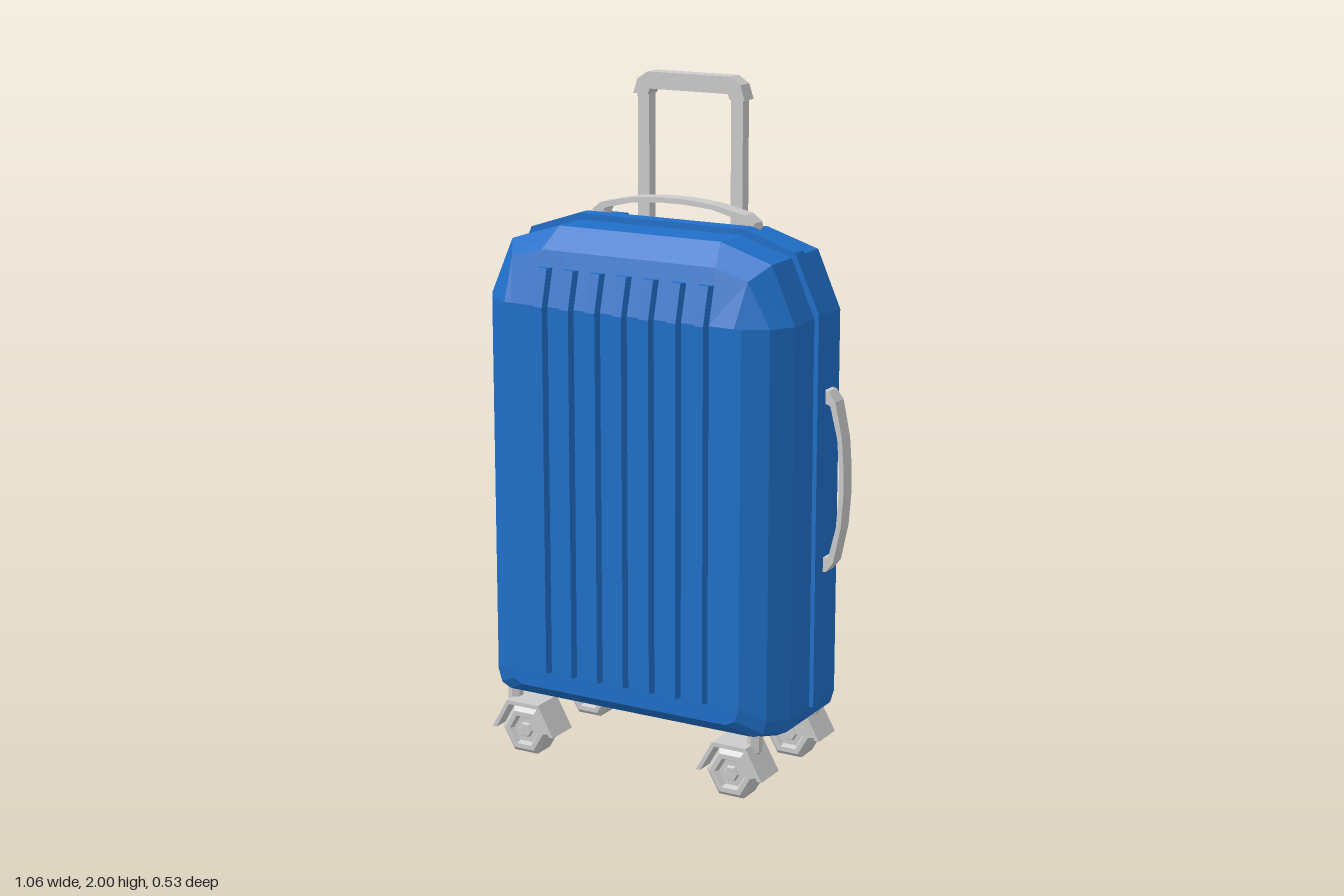
import * as THREE from 'three';

const blue = new THREE.MeshStandardMaterial({ color: 0x1f6fc8, flatShading: true });
const grey = new THREE.MeshStandardMaterial({ color: 0xcccccc, flatShading: true });

function part(parent, name, geometry, material, x = 0, y = 0, z = 0) {
  const mesh = new THREE.Mesh(geometry, material);
  mesh.name = name;
  mesh.position.set(x, y, z);
  parent.add(mesh);
  return mesh;
}

function fromQuads(quads) {
  const pos = [];
  for (const [a, b, c, d] of quads) pos.push(...a, ...b, ...c, ...a, ...c, ...d);
  const g = new THREE.BufferGeometry();
  g.setAttribute('position', new THREE.Float32BufferAttribute(pos, 3));
  g.computeVertexNormals();
  return g;
}

// Quads joining closed rings, with capped ends; skip() leaves openings
function loft(rings, skip = () => false) {
  const quads = [];
  const n = rings[0].length;
  for (let i = 0; i < rings.length - 1; i++) {
    for (let j = 0; j < n; j++) {
      const k = (j + 1) % n;
      if (!skip(i, j)) quads.push([rings[i][j], rings[i][k], rings[i + 1][k], rings[i + 1][j]]);
    }
  }
  const first = rings[0], last = rings[rings.length - 1];
  for (let j = 0; j < n / 2 - 1; j++) {
    const k = n - 1 - j;
    quads.push([last[j], last[j + 1], last[k - 1], last[k]]);
    quads.push([first[k], first[k - 1], first[j + 1], first[j]]);
  }
  return quads;
}

// Right-hand points followed by their mirror image
const mirrored = (pts) => [...pts, ...pts.map(([x, y]) => [-x, y]).reverse()];

// Extrusion of an outline, centred on z = 0
function slab(pts, depth) {
  const shape = new THREE.Shape(pts.map(([x, y]) => new THREE.Vector2(x, y)));
  const g = new THREE.ExtrudeGeometry(shape, { depth, bevelEnabled: false });
  g.translate(0, 0, -depth / 2);
  return g;
}

// A band between an outer and an inner half outline
const arch = (outer, inner, depth) =>
  slab([...mirrored(outer), ...mirrored(inner).reverse()], depth);

function shellGeometry() {
  const slice = (z, hx, y0, sx, sy, tx, ty) => mirrored([
    [hx - 0.042, y0], [hx - 0.012, y0 + 0.015], [hx, y0 + 0.055],
    [hx, 1.37], [sx, sy], [tx, ty], [0.2, ty],
  ]).map(([x, y]) => [x, y, z]);
  const face = [0.382, 0.225, 0.36, 1.37, 0.28, 1.37];
  const edge = [0.45, 0.188, 0.38, 1.495, 0.28, 1.525];
  const full = [0.492, 0.18, 0.42, 1.535, 0.26, 1.585];
  const rings = [
    slice(-0.246, ...face), slice(-0.205, ...edge), slice(-0.14, ...full),
    slice(-0.1, ...full), slice(0.14, ...full), slice(0.205, ...edge), slice(0.246, ...face),
  ];
  const quads = loft(rings, (i, j) => j === 6 && (i === 1 || i === 2));
  // Recess at the top of the back for the pull handle
  const lo = 1.525, hi = 1.585, w = 0.2, zb = -0.205, zf = -0.1;
  const side = (x) => [[x, lo, zb], [x, lo, zf], [x, hi, zf], [x, hi, -0.14]];
  quads.push([[-w, lo, zb], [-w, lo, zf], [w, lo, zf], [w, lo, zb]]);
  quads.push([[w, lo, zf], [-w, lo, zf], [-w, hi, zf], [w, hi, zf]]);
  quads.push(side(w), side(-w).reverse());
  return fromQuads(quads);
}

// Raised rib that bends back over the shoulder of the shell
function ribGeometry() {
  const ring = (y, z) => [
    [-0.027, y, z - 0.01], [-0.015, y, z + 0.018], [0.015, y, z + 0.018], [0.027, y, z - 0.01],
  ];
  return fromQuads(loft([ring(0.28, 0.246), ring(1.37, 0.246), ring(1.478, 0.218)]));
}

function carryHandle(name) {
  const handle = new THREE.Group();
  handle.name = name;
  const outer = [[0.267, -0.012], [0.264, 0.006], [0.235, 0.028], [0.13, 0.05], [0.04, 0.057]];
  const inner = [[0.235, -0.012], [0.222, 0.012], [0.13, 0.035], [0.04, 0.042]];
  part(handle, 'handleGrip', arch(outer, inner, 0.052), grey);
  for (const s of [-1, 1]) {
    part(handle, 'handleFoot', new THREE.BoxGeometry(0.04, 0.03, 0.035), grey, s * 0.245, -0.01, 0);
  }
  return handle;
}

// Caster: hexagonal wheel, three-sided fender and a stem on the outer side
function caster(s) {
  const group = new THREE.Group();
  group.name = 'caster';
  const half = [[0, 0.04], [0.02, 0.04], [0.025, 0.032], [0.042, 0.032], [0.05, 0.046], [0.066, 0.046], [0.08, 0.034]];
  const profile = [...half.map(([r, y]) => [r, -y]), ...half.slice().reverse()]
    .map(([r, y]) => new THREE.Vector2(r, y));
  const wheel = new THREE.LatheGeometry(profile, 6, Math.PI / 2);
  wheel.rotateX(Math.PI / 2);
  part(group, 'wheel', wheel, grey, 0, 0.072, 0);
  const fender = arch([[0.106, 0], [0.054, 0.092]], [[0.092, 0], [0.047, 0.08]], 0.106);
  part(group, 'fender', fender, grey, 0, 0.07, 0);
  const stem = [[0, 0.11], [0.022, 0.14], [0.022, 0.21]].map(([r, y]) => new THREE.Vector2(r, y));
  part(group, 'stem', new THREE.LatheGeometry(stem, 6), grey, s * 0.056, 0, 0);
  return group;
}

export function createModel() {
  const model = new THREE.Group();
  model.name = 'suitcase';
  const body = new THREE.Group();
  body.name = 'suitcaseBody';
  body.position.x = -0.028;
  model.add(body);

  part(body, 'shell', shellGeometry(), blue);

  // Band around the seam
  const band = mirrored([[0.505, 0.235], [0.505, 1.385], [0.43, 1.55], [0.27, 1.603]]);
  part(body, 'seamBand', slab(band, 0.049), blue, 0, 0, -0.0025);

  // Ribs on front and back
  const rib = ribGeometry();
  for (let i = -3; i <= 3; i++) {
    part(body, 'frontRib', rib, blue, i * 0.0865);
    part(body, 'backRib', rib, blue, i * 0.0865).rotation.y = Math.PI;
  }

  // Carry handles on top and on the left side
  const top = carryHandle('topHandle');
  top.position.set(0, 1.6, -0.073);
  const side = carryHandle('sideHandle');
  side.position.set(0.5, 0.888, -0.071);
  side.rotation.z = -Math.PI / 2;
  body.add(top, side);

  // Pull handle
  const pull = new THREE.Group();
  pull.name = 'pullHandle';
  pull.position.z = -0.169;
  for (const s of [-1, 1]) {
    part(pull, 'post', new THREE.BoxGeometry(0.038, 0.44, 0.036), grey, s * 0.153, 1.73, 0);
  }
  const gripOuter = [[0.182, 1.935], [0.168, 1.978], [0.134, 2]];
  const gripInner = [[0.134, 1.935], [0.127, 1.951]];
  part(pull, 'pullGrip', arch(gripOuter, gripInner, 0.054), grey);
  body.add(pull);

  for (const s of [-1, 1]) {
    for (const z of [0.185, -0.178]) {
      const c = caster(s);
      c.position.set(s * 0.347, 0, z);
      body.add(c);
    }
  }
  return model;
}
